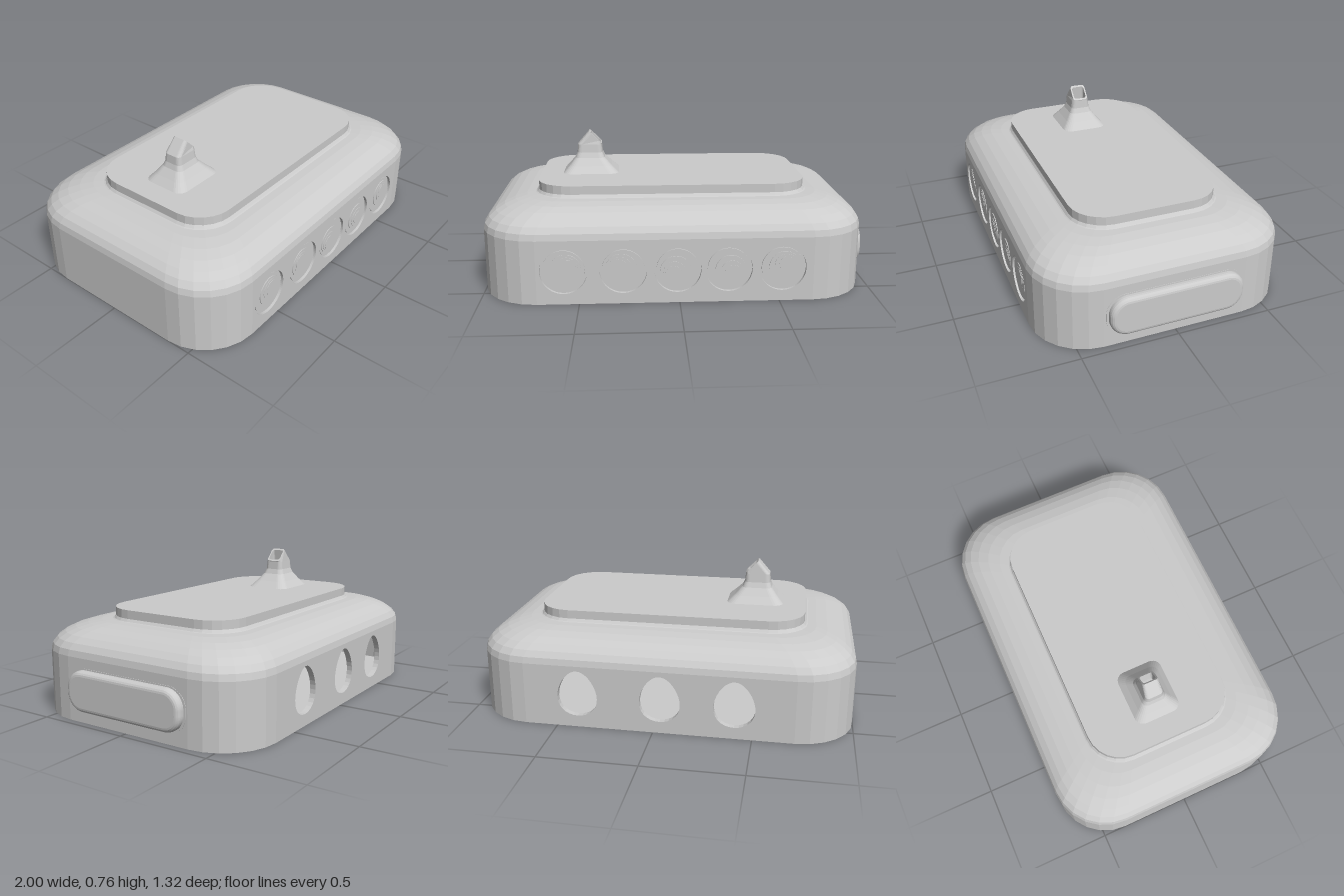
import * as THREE from 'three';

const flat = new THREE.MeshStandardMaterial({ color: 0xcccccc, flatShading: true });
const smooth = new THREE.MeshStandardMaterial({ color: 0xcccccc });
const N = 6; // segments per rounded corner
const FRONT = N, BACK = 3 * N + 2; // index of the straight front and back spans in a ring

// Rounded rectangle in the xz plane; y may be a number or a rule of x
function ring(cx, hw, hd, r, y) {
  const pts = [];
  for (let k = 0; k < 4; k++) {
    const sx = k === 0 || k === 3 ? 1 : -1, sz = k < 2 ? 1 : -1;
    for (let i = 0; i <= N; i++) {
      const a = (k + i / N) * Math.PI / 2;
      const x = cx + sx * (hw - r) + r * Math.cos(a);
      const z = sz * (hd - r) + r * Math.sin(a);
      pts.push(new THREE.Vector3(x, typeof y === 'function' ? y(x) : y, z));
    }
  }
  return pts;
}

// Skin a stack of rings; skip(band, span) leaves openings, flip turns it inside out
function loft(rings, { skip = () => false, flip = false, bottom = true } = {}) {
  const pos = [];
  const tri = (a, b, c) => (flip ? [a, c, b] : [a, b, c]).forEach(p => pos.push(p.x, p.y, p.z));
  const n = rings[0].length;
  for (let j = 0; j < rings.length - 1; j++) {
    for (let i = 0; i < n; i++) {
      if (skip(j, i)) continue;
      const k = (i + 1) % n, lo = rings[j], hi = rings[j + 1];
      tri(lo[i], hi[i], lo[k]);
      tri(lo[k], hi[i], hi[k]);
    }
  }
  const cap = (pts, up) => {
    const c = new THREE.Vector3();
    pts.forEach(p => c.addScaledVector(p, 1 / n));
    pts.forEach((p, i) => up ? tri(c, pts[(i + 1) % n], p) : tri(c, p, pts[(i + 1) % n]));
  };
  if (bottom) cap(rings[0], false);
  cap(rings[rings.length - 1], true);
  const g = new THREE.BufferGeometry();
  g.setAttribute('position', new THREE.Float32BufferAttribute(pos, 3));
  g.computeVertexNormals();
  return g;
}

function add(parent, name, geometry, material = flat) {
  const m = new THREE.Mesh(geometry, material);
  m.name = name;
  parent.add(m);
  return m;
}

// Body section rings: straight wall, then a quarter-ellipse shoulder
function bodyRings(t, floorY) {
  const rings = [ring(-0.02, 0.98 - t, 0.66 - t, 0.29 - t, floorY)];
  for (let i = 0; i <= 7; i++) {
    const a = i / 7 * Math.PI / 2, s = 1 - Math.cos(a);
    rings.push(ring(-0.02, 0.98 - t - 0.27 * s, 0.66 - t - 0.27 * s,
      0.29 - t - 0.11 * s, 0.33 + (0.145 - t) * Math.sin(a)));
  }
  return rings;
}

// Flat wall between the corners, cut with the given holes
function wall(holes) {
  const s = new THREE.Shape([[-0.71, 0], [0.67, 0], [0.67, 0.33], [-0.71, 0.33]]
    .map(p => new THREE.Vector2(...p)));
  s.holes.push(...holes);
  return new THREE.ExtrudeGeometry(s, { depth: 0.03, bevelEnabled: false, curveSegments: 32 });
}

// Egg outline, narrower at the top
function egg(cx, cy) {
  const pts = [];
  for (let i = 0; i < 32; i++) {
    const a = -i / 32 * Math.PI * 2;
    pts.push(new THREE.Vector2(cx + 0.102 * Math.cos(a) * (1 - 0.2 * Math.sin(a)), cy + 0.122 * Math.sin(a)));
  }
  return new THREE.Path(pts);
}

function roundedShape(w, h, r) {
  const s = new THREE.Shape();
  s.absarc(w - r, h - r, r, 0, Math.PI / 2);
  s.absarc(r - w, h - r, r, Math.PI / 2, Math.PI);
  s.absarc(r - w, r - h, r, Math.PI, Math.PI * 1.5);
  s.absarc(w - r, r - h, r, Math.PI * 1.5, Math.PI * 2);
  s.closePath();
  return s;
}

export function createModel() {
  const model = new THREE.Group();
  model.name = 'model';

  // Hollow body: outer shell, inner lining, pierced front and back walls
  const skip = (band, span) => band === 0 && (span === FRONT || span === BACK);
  add(model, 'bodyShell', loft(bodyRings(0, 0), { skip }));
  add(model, 'bodyLining', loft(bodyRings(0.03, 0.03), { skip, flip: true }));

  // Eyes: x position and direction of gaze
  const eyes = [[-0.575, 1, 1], [-0.28, -1, 1], [-0.01, -1, -1], [0.245, 1, -1], [0.515, 1, 1]];
  const sockets = eyes.map(([x]) => new THREE.Path().absarc(x, 0.172, 0.117, 0, Math.PI * 2, true));
  add(model, 'frontWall', wall(sockets)).position.z = 0.63;
  add(model, 'backWall', wall([egg(0.39, 0.183), egg(-0.035, 0.183), egg(-0.41, 0.183)])).position.z = -0.66;

  const disc = (parent, name, r, x, y, front) => {
    const g = new THREE.CylinderGeometry(r, r, 0.03, 40).rotateX(Math.PI / 2);
    add(parent, name, g, smooth).position.set(x, y, front - 0.015);
  };
  for (const [x, dx, dy] of eyes) {
    const eye = new THREE.Group();
    eye.name = 'eye';
    eye.position.set(x, 0.172, 0);
    disc(eye, 'socketFloor', 0.117, 0, 0, 0.645);
    disc(eye, 'eyeball', 0.106, 0, 0, 0.652);
    disc(eye, 'iris', 0.078, 0.01 * dx, 0.008 * dy, 0.656);
    disc(eye, 'pupil', 0.057, 0.016 * dx, 0.015 * dy, 0.658);
    disc(eye, 'pupilCentre', 0.04, 0.021 * dx, 0.02 * dy, 0.66);
    model.add(eye);
  }

  // Raised plate on top, with a small fillet at its foot
  add(model, 'topPlate', loft([
    ring(-0.02, 0.74, 0.42, 0.2, 0.468), ring(-0.02, 0.72, 0.4, 0.19, 0.477),
    ring(-0.02, 0.71, 0.39, 0.18, 0.49), ring(-0.02, 0.71, 0.39, 0.18, 0.535),
  ]));

  // Long side button with a thin surround
  const surround = new THREE.ExtrudeGeometry(roundedShape(0.363, 0.112, 0.1), { depth: 0.03, bevelEnabled: false });
  const button = new THREE.ExtrudeGeometry(roundedShape(0.325, 0.08, 0.068),
    { depth: 0.05, bevelThickness: 0.025, bevelSize: 0.025, bevelSegments: 4 });
  for (const [name, g, x] of [['buttonSurround', surround, 0.932], ['sideButton', button, 0.925]]) {
    add(model, name, g.rotateY(Math.PI / 2)).position.set(x, 0.17, 0);
  }

  // Spout: flared foot, square neck and a slanted open mouth facing +x
  const slant = x => 0.755 - (x + 0.465);
  add(model, 'spout', loft([
    ring(-0.458, 0.153, 0.128, 0.05, 0.533),
    ring(-0.461, 0.115, 0.095, 0.04, 0.572),
    ring(-0.464, 0.08, 0.066, 0.03, 0.612),
    ring(-0.465, 0.069, 0.055, 0.025, 0.64),
    ring(-0.465, 0.065, 0.05, 0.022, 0.685),
    ring(-0.433, 0.034, 0.044, 0.015, slant),
    ring(-0.433, 0.026, 0.036, 0.012, slant),
    ring(-0.445, 0.026, 0.036, 0.012, 0.63),
  ]));

  return model;
}
